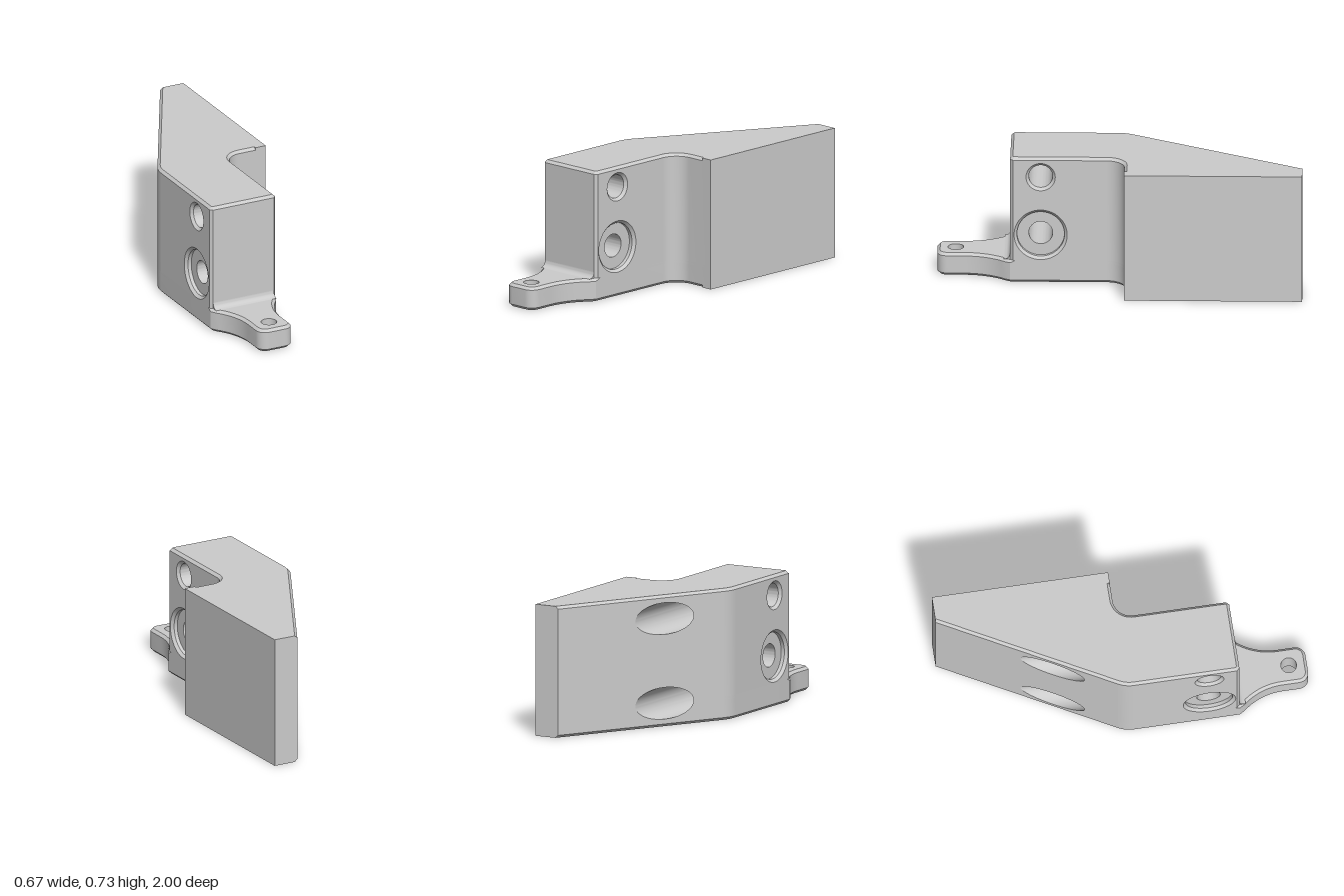
import * as THREE from 'three';
import { toCreasedNormals } from 'three/addons/utils/BufferGeometryUtils.js';

const H = 0.73, STEP = 0.13, C = 0.015;      // body height, tongue height, chamfer
const L = -0.333, R = 0.07, FRONT = 0.6, NOTCH = -0.027;
const material = new THREE.MeshStandardMaterial({ color: 0xcccccc, side: THREE.DoubleSide });
const V = (x, y, z) => new THREE.Vector3(x, y, z);

// Outline points run clockwise seen from above; each tag describes the edge that starts there.
const P = (x, z, tag = 'rim') => ({ x, z, tag });
function arc(cx, cz, r, a0, a1, n, tag) {
  return Array.from({ length: n + 1 }, (_, i) => {
    const a = a0 + (a1 - a0) * i / n;
    return P(cx + r * Math.cos(a), cz + r * Math.sin(a), tag);
  });
}

// Moves every edge inwards by amount(tag) and intersects neighbours again.
function inset(pts, amount) {
  const lines = pts.map((p, i) => {
    const q = pts[(i + 1) % pts.length], l = Math.hypot(q.x - p.x, q.z - p.z);
    const nx = -(q.z - p.z) / l, nz = (q.x - p.x) / l;
    return { nx, nz, k: nx * p.x + nz * p.z + amount(p.tag) };
  });
  return pts.map((p, i) => {
    const a = lines[(i + pts.length - 1) % pts.length], b = lines[i];
    const det = a.nx * b.nz - a.nz * b.nx;
    if (Math.abs(det) < 1e-4) return P(p.x + b.nx * amount(p.tag), p.z + b.nz * amount(p.tag), p.tag);
    return P((a.k * b.nz - b.k * a.nz) / det, (a.nx * b.k - b.nx * a.k) / det, p.tag);
  });
}

function add(group, name, geometry) {
  const mesh = new THREE.Mesh(geometry, material);
  mesh.name = name;
  group.add(mesh);
  return mesh;
}

// Quads between two polylines, lower first.
function loft(a, b, closed = false, skip = () => false) {
  const pos = [], n = a.length;
  for (let i = 0; i < (closed ? n : n - 1); i++) {
    if (skip(i)) continue;
    const j = (i + 1) % n;
    for (const v of [a[i], b[i], b[j], a[i], b[j], a[j]]) pos.push(v.x, v.y, v.z);
  }
  const g = new THREE.BufferGeometry();
  g.setAttribute('position', new THREE.Float32BufferAttribute(pos, 3));
  return toCreasedNormals(g, 0.5);
}
const at = (pts, y) => pts.map(p => V(p.x, y, p.z));
const band = (a, y0, b, y1, skipTags = []) =>
  loft(at(a, y0), at(b, y1), true, i => skipTags.includes(a[i].tag));

// Flat horizontal face, facing up or down, with optional round holes.
function cap(pts, y, up, holes = []) {
  const s = up ? -1 : 1;
  const shape = new THREE.Shape(pts.map(p => new THREE.Vector2(p.x, s * p.z)));
  for (const h of holes) shape.holes.push(new THREE.Path().absarc(h.x, s * h.z, h.r, 0, Math.PI * 2, true));
  return new THREE.ShapeGeometry(shape, 24).rotateX(s * Math.PI / 2).translate(0, y, 0);
}

// Vertical wall on the outline edge p-q with elliptical holes.
function wall(p, q, y0, y1, holes) {
  const dir = V(p.x - q.x, 0, p.z - q.z), len = dir.length();
  dir.normalize();
  const shape = new THREE.Shape([[0, y0], [len, y0], [len, y1], [0, y1]].map(a => new THREE.Vector2(...a)));
  for (const h of holes) {
    const u = (h.x - q.x) * dir.x + (h.z - q.z) * dir.z;
    shape.holes.push(new THREE.Path().absellipse(u, h.y, h.rx, h.ry, 0, Math.PI * 2, true));
  }
  const up = V(0, 1, 0);
  const m = new THREE.Matrix4().makeBasis(dir, up, dir.clone().cross(up)).setPosition(q.x, 0, q.z);
  return new THREE.ShapeGeometry(shape, 32).applyMatrix4(m);
}

const lathe = pts => new THREE.LatheGeometry(pts.map(p => new THREE.Vector2(...p)), 64);

export function createModel() {
  const g = new THREE.Group();
  g.name = 'bracket';

  // Shared outline: back wing, rounded inner corner, rounded outer bend
  const wing = P(0.19, -1, 'plain');
  const rightSide = [
    wing, P(0.333, -1, 'plain'), P(0.333, NOTCH, 'plain'),
    P(0.27, NOTCH, 'plain'), P(0.27, NOTCH - 0.0002),
    ...arc(R + 0.1, NOTCH + 0.1, 0.1, -Math.PI / 2, -Math.PI, 14, 'rim'),
  ];
  rightSide[rightSide.length - 1].tag = 'side';
  const bend = P(L, -0.03), run = Math.hypot(wing.x - bend.x, wing.z - bend.z);
  const dx = (wing.x - bend.x) / run, dz = (wing.z - bend.z) / run;
  const leftSide = new THREE.QuadraticBezierCurve(
    new THREE.Vector2(L, bend.z + 0.045), new THREE.Vector2(L, bend.z),
    new THREE.Vector2(L + dx * 0.045, bend.z + dz * 0.045)).getPoints(6).map(p => P(p.x, p.y));
  const slantStart = leftSide[leftSide.length - 1];
  slantStart.tag = 'slant';

  // Tongue outline: concave neck, rounded tip, mirrored about its middle
  const mid = (L + R) / 2, half = 0.103, neckR = 0.338;
  const halfTongue = [
    P(R, FRONT, 'tongue'),
    ...arc(mid + half + neckR, 0.85, neckR, Math.PI * 1.25, Math.PI, 10, 'tongue').slice(1),
    ...arc(mid + half - 0.055, 0.945, 0.055, 0, Math.PI / 2, 8, 'tongue'),
  ];
  const tongue = [...halfTongue, ...halfTongue.map(p => P(2 * mid - p.x, p.z, 'tongue')).reverse()];
  tongue[tongue.length - 1].tag = 'side';
  const eye = { x: mid, z: 0.9, r: 0.043 };

  // Base layer with the tongue
  const base = [...rightSide, ...tongue, ...leftSide];
  const rim = t => (t === 'plain' ? 0 : C);
  const baseIn = inset(base, rim);
  const baseTop = inset(base, t => (t === 'tongue' ? C : 0));
  add(g, 'underside', cap(baseIn, 0, false, [eye]));
  add(g, 'bottomChamfer', band(baseIn, 0, base, C));
  add(g, 'baseWalls', band(base, C, base, STEP - C, ['slant']));
  add(g, 'tongueChamfer', band(base, STEP - C, baseTop, STEP, ['slant']));
  const tongueTop = baseTop.slice(rightSide.length, rightSide.length + tongue.length);
  add(g, 'tongueTop', cap([P(R, FRONT - C), ...tongueTop, P(L, FRONT - C)], STEP, true, [eye]));
  add(g, 'tongueHole', new THREE.CylinderGeometry(eye.r, eye.r, STEP, 40, 1, true)
    .translate(eye.x, STEP / 2, eye.z));

  // Main block above the base
  const body = [...rightSide, P(R, FRONT - C), P(R - C, FRONT), P(L + C, FRONT),
    P(L, FRONT - C, 'side'), ...leftSide];
  const bodyIn = inset(body, rim);
  add(g, 'bodyWalls', band(body, STEP, body, H - C, ['side', 'slant']));
  add(g, 'topChamfer', band(body, H - C, bodyIn, H));
  add(g, 'topFace', cap(bodyIn, H, true));

  // Side walls and the holes that cross the block
  const holeZ = 0.433;
  const sideHoles = [[0.617, 0.08], [0.28, 0.145]].map(([y, r]) => ({ x: 0, z: holeZ, y, rx: r, ry: r }));
  add(g, 'leftFaceWall', wall(P(R, rightSide.at(-1).z), P(R, FRONT - C), STEP, H - C, sideHoles));
  add(g, 'rightFaceWall', wall(P(L, FRONT - C), leftSide[0], STEP, H - C, sideHoles));
  const D = 0.035;
  const profiles = [
    [[0.08, L], [0.065, L + C], [0.065, R - C], [0.08, R]],
    [[0.145, L], [0.13, L + C], [0.13, L + D], [0.065, L + D],
      [0.065, R - D], [0.13, R - D], [0.13, R - C], [0.145, R]],
  ];
  profiles.forEach((profile, i) => {
    const bore = toCreasedNormals(lathe(profile).rotateZ(-Math.PI / 2), 0.5);
    add(g, i ? 'counterboredHole' : 'plainHole', bore.translate(0, sideHoles[i].y, holeZ));
  });

  // Slanted wall with two blind bores running forwards
  const r = 0.088, cx = mid, floorZ = 0.1;
  const slantZ = x => wing.z + (x - wing.x) * dz / dx;
  const bores = [0.13, 0.6].map(y => ({ x: cx, z: slantZ(cx), y, rx: r / dx, ry: r }));
  add(g, 'slantedWall', wall(slantStart, wing, C, H - C, bores));
  for (const b of bores) {
    const geo = lathe([[r, 0], [r, 1], [0, 1]]).rotateX(Math.PI / 2).translate(cx, b.y, 0);
    const pos = geo.attributes.position;
    for (let i = 0; i < pos.count; i++) pos.setZ(i, pos.getZ(i) < 0.5 ? slantZ(pos.getX(i)) : floorZ);
    add(g, 'blindBore', toCreasedNormals(geo, 0.5));
  }

  // Fillet where the tongue meets the block, with closed ends
  const f = 0.035;
  const curve = x => arc(FRONT + f, STEP + f, f, Math.PI, Math.PI * 1.5, 8).map(p => V(x, p.z, p.x));
  const x0 = L + C, x1 = R - C;
  add(g, 'tongueFillet', loft(curve(x0), curve(x1)));
  for (const x of [x0, x1]) add(g, 'filletEnd', loft(curve(x), curve(x).map(() => V(x, STEP, FRONT))));
  return g;
}
